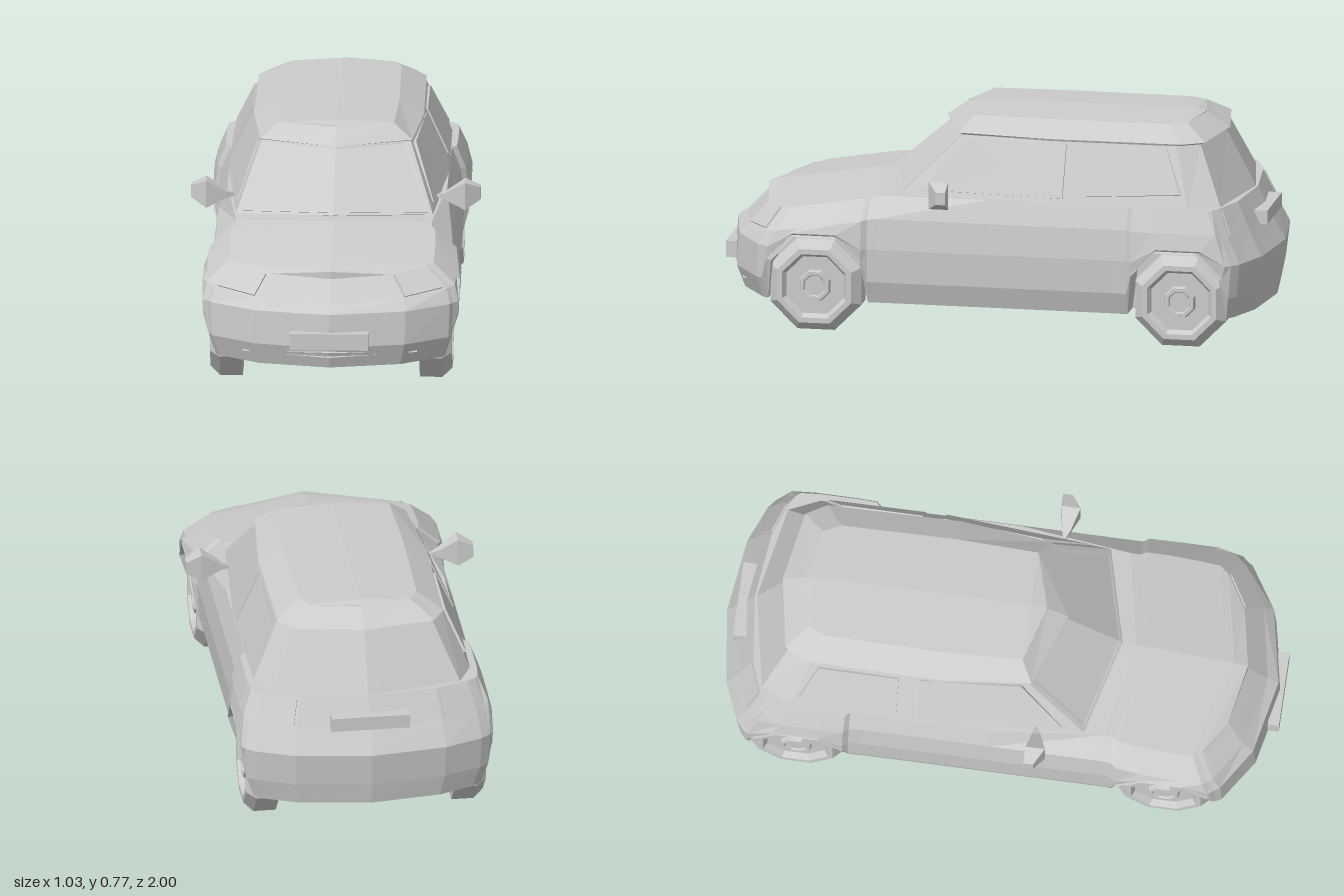
import * as THREE from 'three';

const material = new THREE.MeshStandardMaterial({ color: 0xcccccc, flatShading: true });
const V = (x, y, z) => new THREE.Vector3(x, y, z);
// reflect a ring to the other side, keeping its winding
const flip = (ring) => ring.map((p) => V(-p.x, p.y, p.z)).reverse();
// close a half outline (front centre to rear centre) into a full ring
const close = (half) => [...half, ...flip(half.slice(1, -1))];

// skin through closed rings of equal length
function loft(rings) {
  const n = rings[0].length, pos = [], idx = [];
  rings.forEach((r) => r.forEach((p) => pos.push(p.x, p.y, p.z)));
  for (let k = 0; k < rings.length - 1; k++) {
    for (let i = 0; i < n; i++) {
      const a = k * n + i, b = k * n + (i + 1) % n;
      idx.push(a, b, b + n, a, b + n, a + n);
    }
  }
  const g = new THREE.BufferGeometry();
  g.setAttribute('position', new THREE.Float32BufferAttribute(pos, 3));
  g.setIndex(idx);
  g.computeVertexNormals();
  return g;
}

// thin raised panel on an outline, counterclockwise seen from outside
function panel(pts, t = 0.006) {
  const c = V(0, 0, 0), n = V(0, 0, 0);
  pts.forEach((p) => c.addScaledVector(p, 1 / pts.length));
  pts.forEach((p, i) => n.add(p.clone().sub(c).cross(pts[(i + 1) % pts.length].clone().sub(c))));
  n.normalize();
  const at = (p, d) => p.clone().addScaledVector(n, d);
  return loft([pts.map((p) => at(p, -0.015)), pts.map((p) => at(p, t)), pts.map(() => at(c, t))]);
}
const shrink = (pts, f) => {
  const c = V(0, 0, 0);
  pts.forEach((p) => c.addScaledVector(p, 1 / pts.length));
  return pts.map((p) => c.clone().lerp(p, f));
};

const FRONT = 0.625, REAR = -0.695;
// wheel arch opening: z offset, height, half width of body
const ARCH = [[0.19, 0.11, 0.437], [0.17, 0.26, 0.455], [0.08, 0.35, 0.458],
  [-0.08, 0.35, 0.458], [-0.17, 0.26, 0.452], [-0.19, 0.11, 0.437]];
const arch = (c) => ARCH.map(([dz, y, x]) => [x, c + dz, y]);
// plan outline: x, z, lowest height
const PLAN = [[0, 0.99, 0.11], [0.27, 0.935, 0.11], [0.425, 0.835, 0.11], ...arch(FRONT),
  [0.435, 0.4, 0.11], [0.435, 0, 0.11], [0.435, -0.45, 0.11], ...arch(REAR),
  [0.405, -0.91, 0.11], [0.27, -0.965, 0.11], [0, -1, 0.11]];
// body levels: height, width scale, nose setback, tail setback
const LEVELS = [[0.11, 0.93, 0.03, 0.03], [0.19, 0.99, 0, 0.015], [0.31, 1, 0.01, 0],
  [0.42, 0.97, 0.05, 0.05], [0.5, 0.9, 0.12, 0.1]];

function bodyHalf(level) {
  const [y0, scale, nose, tail] = LEVELS[level];
  return PLAN.map(([x, z, low]) => {
    let y = Math.max(y0, low + 0.006 * level), s = scale, zz = z;
    if (z > 0.5) zz -= nose * (z - 0.5) / 0.49;
    if (z < -0.5) zz += tail * (-z - 0.5) / 0.5;
    if (low > 0.11 && level === 0) s = 1;
    if (level === 3 && z > 0.4) y -= 0.14 * (z - 0.4);
    if (level === 3 && z < -0.88) y -= 0.02;
    if (level === 4 && z > 0.3) {
      s = 0.8;
      y -= 0.165 * Math.max(0, zz - 0.33);
    }
    return V(x * s, y, zz);
  });
}

function wheel(side, z) {
  const profile = [[0, 0.315], [0.178, 0.315], [0.178, 0.395], [0.145, 0.43], [0.125, 0.43],
    [0.112, 0.408], [0.06, 0.408], [0.055, 0.425], [0.042, 0.425], [0.038, 0.418], [0, 0.418]];
  const g = new THREE.LatheGeometry(profile.map((p) => new THREE.Vector2(...p)), 8, Math.PI / 8);
  g.rotateZ(-side * Math.PI / 2);
  g.translate(0, 0.165, z);
  return g;
}

export function createModel() {
  const car = new THREE.Group();
  car.name = 'car';
  const add = (name, geometry) => {
    const mesh = new THREE.Mesh(geometry, material);
    mesh.name = name;
    car.add(mesh);
    return mesh;
  };
  const box = (name, w, h, d, x, y, z) => add(name, new THREE.BoxGeometry(w, h, d)).position.set(x, y, z);
  const pair = (name, pts) => {
    add(name + 'Left', panel(pts));
    add(name + 'Right', panel(flip(pts)));
  };

  // lower body, closed along the centre line at the floor and the bonnet
  const halves = LEVELS.map((_, i) => bodyHalf(i));
  const floor = halves[0].map((p) => V(0, p.y, p.z));
  const crown = halves[4].map((p) => (p.z > 0.3
    ? V(0, p.y + 0.02, Math.min(halves[4][0].z, p.z + 0.07)) : V(0, p.y, p.z)));
  add('lowerBody', loft([floor, ...halves, crown].map(close)));
  box('floorPan', 0.62, 0.23, 1.76, 0, 0.225, -0.01);

  // cabin from the belt line up to the roof
  const ring = (y, pts) => pts.map(([x, z]) => V(x, y, z));
  const belt = ring(0.495, [[0, 0.42], [0.35, 0.33], [0.395, -0.2], [0.39, -0.72], [0.34, -0.83], [0, -0.895]]);
  belt[0].y = 0.515;
  const header = ring(0.705, [[0, 0.2], [0.265, 0.115], [0.3, -0.2], [0.295, -0.66], [0.25, -0.74], [0, -0.785]]);
  const lip = ring(0.712, [[0, 0.225], [0.27, 0.13], [0.303, -0.2], [0.298, -0.68], [0.255, -0.755], [0, -0.8]]);
  const roof = ring(0.764, [[0, 0.15], [0.205, 0.09], [0.215, -0.2], [0.21, -0.62], [0.18, -0.68], [0, -0.715]]);
  const ridge = roof.map((p, i) => V(0, i === 0 || i === 5 ? 0.767 : 0.775, p.z));
  add('cabin', loft([belt, header, lip, roof, ridge].map(close)));

  // windscreen and rear window, each folded at the centre
  const glass = (a, b, c, d) => [a, b, c, d, V(-c.x, c.y, c.z), V(-b.x, b.y, b.z)];
  add('windscreen', panel(shrink(glass(belt[0], belt[1], header[1], header[0]), 0.95), 0.004));
  const [rb, rc, rt, ru] = [belt[5], belt[4], header[4], header[5]];
  const rear = [rb, V(-rc.x, rc.y, rc.z), V(-rt.x, rt.y, rt.z), ru, rt, rc];
  add('rearWindow', panel(shrink(rear, 0.8), 0.005));

  // side windows, given as z and y
  const sidePt = ([z, y]) => V(0.395 - 0.095 * (y - 0.495) / 0.21 - Math.max(0, z + 0.2) * 0.09, y, z);
  pair('doorWindow', [[0.25, 0.515], [-0.265, 0.515], [-0.265, 0.695], [0.095, 0.695]].map(sidePt));
  pair('quarterWindow', [[-0.34, 0.525], [-0.69, 0.545], [-0.63, 0.69], [-0.34, 0.69]].map(sidePt));

  // lamps on the body corners
  const last = PLAN.length - 1;
  const corner = (i, j) => shrink([halves[3][i], halves[3][j], halves[4][j], halves[4][i]], 0.88);
  pair('headlamp', corner(1, 2));
  pair('tailLamp', corner(last - 2, last - 1));

  // number plates and bumper lip
  box('frontPlate', 0.28, 0.06, 0.04, 0, 0.215, 0.98);
  box('rearPlate', 0.28, 0.05, 0.05, 0, 0.42, -0.935);
  const lipShape = [V(0, 0.155, 0.985), V(0.31, 0.155, 0.9), V(0, 0.175, 0.99), V(-0.31, 0.155, 0.9)];
  add('bumperLip', panel(lipShape, 0.004));

  // door mirrors: x, low y, high y, back z, front z
  const pod = [[0.36, 0.51, 0.52, 0.155, 0.165], [0.39, 0.505, 0.53, 0.15, 0.18],
    [0.46, 0.475, 0.575, 0.135, 0.205], [0.515, 0.505, 0.55, 0.135, 0.17]]
    .map(([x, a, b, c, d]) => [V(x, a, c), V(x, b, c), V(x, b, d), V(x, a, d)]);
  pod.push(pod[3].map(() => V(0.515, 0.528, 0.152)));
  add('mirrorLeft', loft(pod));
  add('mirrorRight', loft(pod.map(flip)));

  // wheels
  for (const side of [1, -1]) {
    const s = side > 0 ? 'Left' : 'Right';
    add('frontWheel' + s, wheel(side, FRONT));
    add('rearWheel' + s, wheel(side, REAR));
  }
  return car;
}
